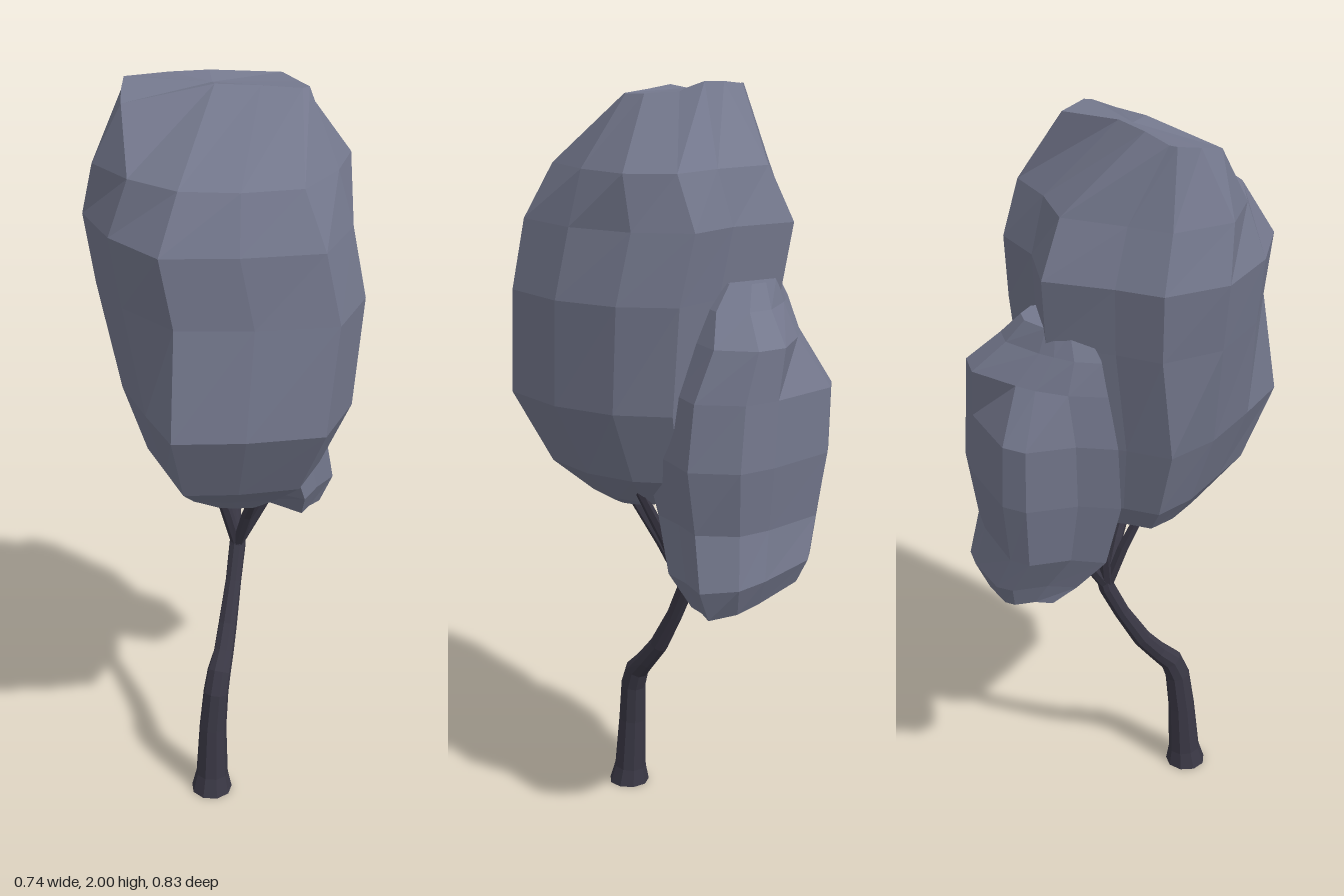
import * as THREE from 'three';

const leafMaterial = new THREE.MeshStandardMaterial({ color: 0x74788d, flatShading: true, roughness: 0.9 });
const barkMaterial = new THREE.MeshStandardMaterial({ color: 0x3a3845, flatShading: true, roughness: 0.9 });

// Skin a stack of rings (bottom to top, counterclockwise from above) and close both ends.
function loft(rings, material, name) {
  const positions = [];
  const tri = (...corners) => corners.forEach((p) => positions.push(p.x, p.y, p.z));
  const n = rings[0].length;
  const middle = (ring) => ring.reduce((s, p) => s.add(p), new THREE.Vector3()).divideScalar(n);
  const last = rings[rings.length - 1];
  const low = middle(rings[0]);
  const high = middle(last);
  for (let j = 0; j < n; j++) {
    const k = (j + 1) % n;
    for (let i = 0; i < rings.length - 1; i++) {
      const a = rings[i];
      const b = rings[i + 1];
      tri(a[j], a[k], b[k]);
      tri(a[j], b[k], b[j]);
    }
    tri(low, rings[0][k], rings[0][j]);
    tri(high, last[j], last[k]);
  }
  const geometry = new THREE.BufferGeometry();
  geometry.setAttribute('position', new THREE.Float32BufferAttribute(positions, 3));
  geometry.computeVertexNormals();
  const mesh = new THREE.Mesh(geometry, material);
  mesh.name = name;
  return mesh;
}

// Fit an irregular outline into each level [y, x0, x1, z0, z1, tilt, limit].
// Tilt raises y with x; limit bevels the corner that faces -x and zSign.
function crownRings(outline, zSign, levels) {
  const xs = outline.map((p) => p[0]);
  const zs = outline.map((p) => p[1]);
  const fit = (v, list, a, b) =>
    THREE.MathUtils.mapLinear(v, Math.min(...list), Math.max(...list), a, b);
  return levels.map(([y, x0, x1, z0, z1, tilt = 0, limit = 1]) =>
    outline.map(([px, pz]) => {
      const x = fit(px, xs, x0, x1);
      const z = fit(pz, zs, z0, z1);
      const cut = Math.max(0, zSign * z - x - limit) / 2;
      return new THREE.Vector3(x + cut, y + tilt * (x - (x0 + x1) / 2), z - zSign * cut);
    }));
}

// Tapered limb following points given as [x, y, z, radius].
function limb(points, sides, name) {
  const centres = points.map((p) => new THREE.Vector3(p[0], p[1], p[2]));
  const rings = centres.map((c, i) => {
    const before = centres[Math.max(i - 1, 0)];
    const after = centres[Math.min(i + 1, centres.length - 1)];
    const tangent = i === 0 ? new THREE.Vector3(0, 1, 0) : after.clone().sub(before).normalize();
    const side = tangent.clone().cross(new THREE.Vector3(0, 0, 1)).normalize();
    const front = side.clone().cross(tangent).normalize();
    return Array.from({ length: sides }, (_, j) => {
      const t = (j / sides) * Math.PI * 2;
      return c.clone()
        .addScaledVector(front, Math.cos(t) * points[i][3])
        .addScaledVector(side, Math.sin(t) * points[i][3]);
    });
  });
  return loft(rings, barkMaterial, name);
}

export function createModel() {
  const tree = new THREE.Group();
  tree.name = 'tree';

  // Tall main crown, rounded below
  const mainRings = crownRings(
    [[0, 0.42], [0.185, 0.335], [0.37, 0.215], [0.36, 0], [0.28, -0.175], [0.155, -0.285],
      [0, -0.24], [-0.19, -0.255], [-0.29, -0.09], [-0.37, 0.015], [-0.335, 0.195], [-0.185, 0.335]],
    1,
    [
      [0.89, -0.05, 0.11, 0.02, 0.15],
      [0.935, -0.2, 0.17, -0.13, 0.22, -0.04, 0.25],
      [1.01, -0.25, 0.26, -0.2, 0.33, 0, 0.32],
      [1.2, -0.31, 0.35, -0.24, 0.42, 0, 0.41],
      [1.48, -0.345, 0.365, -0.27, 0.375, 0, 0.475],
      [1.66, -0.37, 0.325, -0.285, 0.385],
    ]);
  // Shoulder and slanted ridge closing the top of the main crown
  const shoulder = [
    [-0.01, 0.3], [0.13, 0.25], [0.255, 0.16], [0.275, -0.01], [0.25, -0.16], [0.145, -0.24],
    [0, -0.205], [-0.16, -0.2], [-0.26, -0.06], [-0.33, 0.03], [-0.295, 0.19], [-0.16, 0.265],
  ].map(([x, z]) => new THREE.Vector3(x, 1.8, z));
  const ridge = [
    [-0.03, 1.99, 0.045], [0.07, 1.985, -0.005], [0.165, 1.98, -0.04], [0.175, 1.98, -0.06],
    [0.14, 1.98, -0.09], [0.07, 1.985, -0.14], [-0.08, 2, -0.035], [-0.17, 1.995, 0.005],
    [-0.255, 1.985, 0.04], [-0.27, 1.985, 0.055], [-0.245, 1.97, 0.12], [-0.215, 1.955, 0.18],
  ].map((p) => new THREE.Vector3(...p));
  tree.add(loft([...mainRings, shoulder, ridge], leafMaterial, 'mainCrown'));

  // Smaller crown hanging behind
  tree.add(loft(crownRings(
    [[-0.05, -0.06], [0.15, -0.1], [0.155, -0.22], [0.175, -0.335], [0.075, -0.42],
      [-0.03, -0.42], [-0.235, -0.38], [-0.28, -0.33], [-0.28, -0.2], [-0.32, -0.1]],
    -1,
    [
      [0.72, -0.2, 0.12, -0.38, -0.23, -0.22],
      [0.79, -0.23, 0.155, -0.415, -0.16, -0.12],
      [0.91, -0.285, 0.145, -0.39, -0.09],
      [1.08, -0.315, 0.175, -0.415, -0.05],
      [1.25, -0.32, 0.155, -0.41, -0.06],
      [1.38, -0.29, 0.1, -0.41, -0.08, 0, 0.49],
      [1.46, -0.265, 0.05, -0.325, -0.1, 0, 0.43],
      [1.52, -0.22, -0.01, -0.28, -0.13, 0, 0.4],
    ]), leafMaterial, 'backCrown'));

  // Bent trunk with a flared foot
  tree.add(limb([
    [0.017, 0, 0.19, 0.057], [0.016, 0.05, 0.185, 0.045], [0.015, 0.2, 0.175, 0.038],
    [0.019, 0.31, 0.162, 0.035], [0.019, 0.365, 0.14, 0.033], [0.015, 0.405, 0.1, 0.028],
    [0.005, 0.465, 0.05, 0.026], [-0.005, 0.57, -0.012, 0.022], [-0.012, 0.66, -0.055, 0.023],
    [-0.014, 0.72, -0.07, 0.02],
  ], 9, 'trunk'));

  // Branches fanning from the fork: tip x, y, z
  const tips = [[0.11, 0.95, 0.06], [0.17, 1, -0.08], [-0.11, 0.95, -0.09],
    [-0.05, 0.96, 0.06], [0.04, 0.87, -0.2], [-0.1, 0.9, -0.2]];
  tips.forEach(([x, y, z]) => {
    tree.add(limb([
      [-0.012, 0.66, -0.055, 0.016],
      [-0.013 + (x + 0.013) * 0.4, 0.67 + (y - 0.67) * 0.42, -0.06 + (z + 0.06) * 0.4, 0.016],
      [x, y, z, 0.012],
    ], 6, 'branch'));
  });

  return tree;
}
